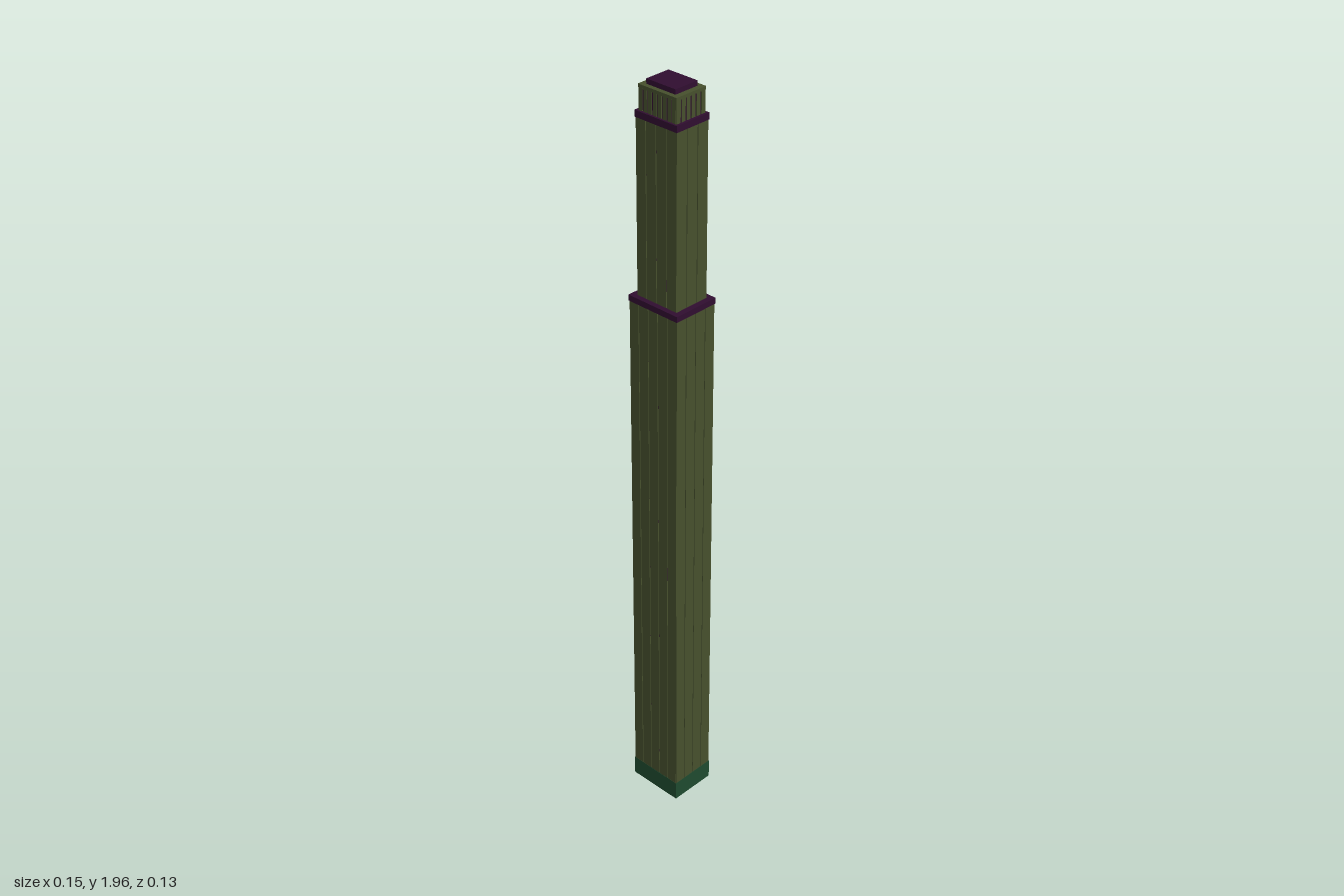
import * as THREE from 'three';

const paint = (color) => new THREE.MeshStandardMaterial({ color });

export function createModel() {
  const tower = new THREE.Group();
  tower.name = 'tower';
  const olive = paint(0x46502d), purple = paint(0x300e30), green = paint(0x1f4a2f);

  // box given by its half sizes and its bottom and top heights
  function block(name, hx, hz, y0, y1, material, parent = tower, x = 0, z = 0) {
    const mesh = new THREE.Mesh(new THREE.BoxGeometry(hx * 2, y1 - y0, hz * 2), material);
    mesh.position.set(x, (y0 + y1) / 2, z);
    mesh.name = name;
    parent.add(mesh);
    return mesh;
  }

  // dark shaft clad with olive panels that leave narrow vertical grooves
  function tier(name, hx, hz, y0, y1, nx, nz, groove) {
    const group = new THREE.Group();
    group.name = name;
    tower.add(group);
    const depth = 0.002;
    block(name + 'Shaft', hx - depth, hz - depth, y0, y1, purple, group);
    const wx = (hx * 2) / nx, wz = (hz * 2) / nz;
    for (const side of [-1, 1]) {
      for (let i = 0; i < nx; i++) {
        const x = -hx + wx * (i + 0.5);
        block(name + 'Panel', (wx - groove) / 2, depth / 2, y0, y1, olive, group, x, side * (hz - depth / 2));
      }
      for (let i = 0; i < nz; i++) {
        const z = -hz + wz * (i + 0.5);
        block(name + 'Panel', depth / 2, (wz - groove) / 2, y0, y1, olive, group, side * (hx - depth / 2), z);
      }
    }
  }

  // rectangular ring extruded upwards
  function ring(name, hx, hz, ix, iz, y0, y1, material) {
    const shape = new THREE.Shape([[-hx, -hz], [hx, -hz], [hx, hz], [-hx, hz]].map((p) => new THREE.Vector2(...p)));
    shape.holes.push(new THREE.Path([[-ix, -iz], [-ix, iz], [ix, iz], [ix, -iz]].map((p) => new THREE.Vector2(...p))));
    const geometry = new THREE.ExtrudeGeometry(shape, { depth: y1 - y0, bevelEnabled: false });
    geometry.rotateX(-Math.PI / 2);
    const mesh = new THREE.Mesh(geometry, material);
    mesh.position.y = y0;
    mesh.name = name;
    tower.add(mesh);
  }

  // plinth around the foot of the core
  ring('plinth', 0.075, 0.0625, 0.043, 0.034, 0, 0.052, green);

  // stepped shafts, each closed by a dark roof slab
  tier('lowerTier', 0.0745, 0.062, 0.052, 1.42, 5, 4, 0.002);
  block('lowerRoof', 0.076, 0.063, 1.42, 1.435, purple);
  tier('upperTier', 0.0615, 0.0495, 1.435, 1.868, 4, 3, 0.002);
  block('upperRoof', 0.063, 0.0505, 1.868, 1.884, purple);

  // crown with closely spaced fins and a rim
  tier('crown', 0.057, 0.0455, 1.884, 1.936, 8, 6, 0.004);
  ring('crownRim', 0.057, 0.0455, 0.043, 0.034, 1.936, 1.944, olive);

  // core showing at the bottom and above the crown
  block('core', 0.043, 0.034, 0.002, 1.956, purple);
  return tower;
}
